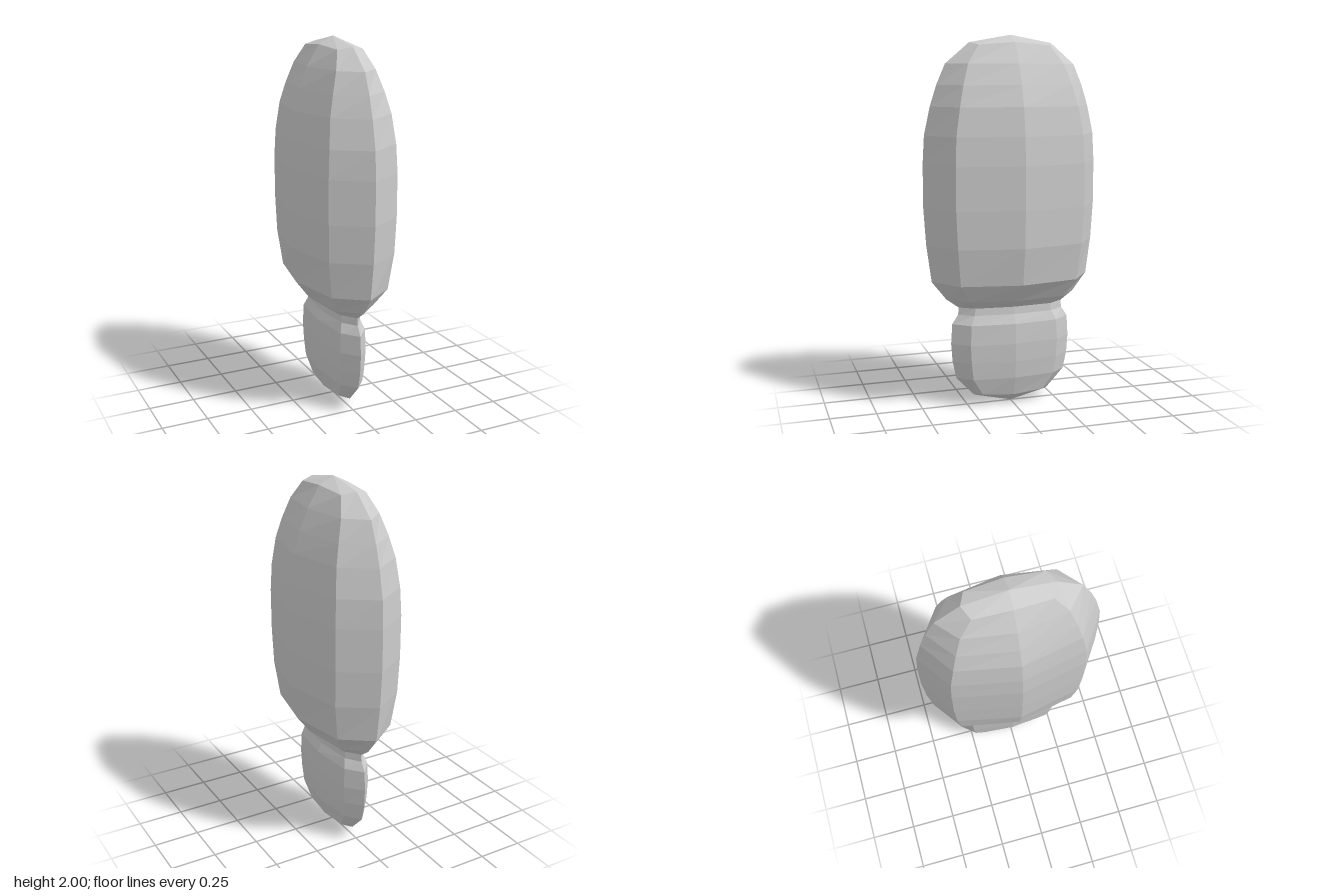
import * as THREE from 'three';

// Eight-sided loft: each ring is [y, half width, half depth, corner ratio, corner y shift]
function loft(rings, bottomY, topY) {
  const pos = [], index = [], sides = 8;
  for (const [y, w, d, k = 0.73, dy = 0] of rings) {
    for (let i = 0; i < sides; i++) {
      const a = (i / sides) * Math.PI * 2;
      const corner = i % 2 === 1;
      const r = corner ? k * Math.SQRT2 : 1;
      pos.push(Math.sin(a) * w * r, y + (corner ? dy : 0), Math.cos(a) * d * r);
    }
  }
  for (let j = 0; j < rings.length - 1; j++) {
    for (let i = 0; i < sides; i++) {
      const n = (i + 1) % sides;
      const a = j * sides + i, b = j * sides + n;
      index.push(a, b, b + sides, a, b + sides, a + sides);
    }
  }
  // Shallow pointed caps
  const bottom = pos.length / 3, top = bottom + 1, last = (rings.length - 1) * sides;
  pos.push(0, bottomY, 0, 0, topY, 0);
  for (let i = 0; i < sides; i++) {
    const n = (i + 1) % sides;
    index.push(bottom, n, i, top, last + i, last + n);
  }
  const geo = new THREE.BufferGeometry();
  geo.setAttribute('position', new THREE.Float32BufferAttribute(pos, 3));
  geo.setIndex(index);
  const flat = geo.toNonIndexed();
  flat.computeVertexNormals();
  return flat;
}

export function createModel() {
  const group = new THREE.Group();
  group.name = 'twoLobedBody';
  const material = new THREE.MeshStandardMaterial({ color: 0xcccccc, flatShading: true });

  const rings = [
    // Small lower lobe
    [0.05, 0.06, 0.21, 0.82, 0.012],
    [0.155, 0.09, 0.31, 0.74],
    [0.25, 0.1, 0.33],
    [0.35, 0.105, 0.337],
    [0.46, 0.1, 0.33],
    [0.51, 0.077, 0.297],
    // Pinched neck
    [0.55, 0.073, 0.293],
    // Large upper lobe
    [0.555, 0.09, 0.3],
    [0.6, 0.15, 0.362],
    [0.7, 0.225, 0.44],
    [0.9, 0.259, 0.467],
    [1.1, 0.266, 0.48],
    [1.33, 0.266, 0.48],
    [1.48, 0.256, 0.471],
    [1.63, 0.234, 0.438],
    [1.74, 0.197, 0.403],
    [1.85, 0.15, 0.355],
    [1.96, 0.083, 0.225, 0.86, -0.014],
  ];
  const body = new THREE.Mesh(loft(rings, 0, 2), material);
  body.name = 'body';
  group.add(body);
  return group;
}
